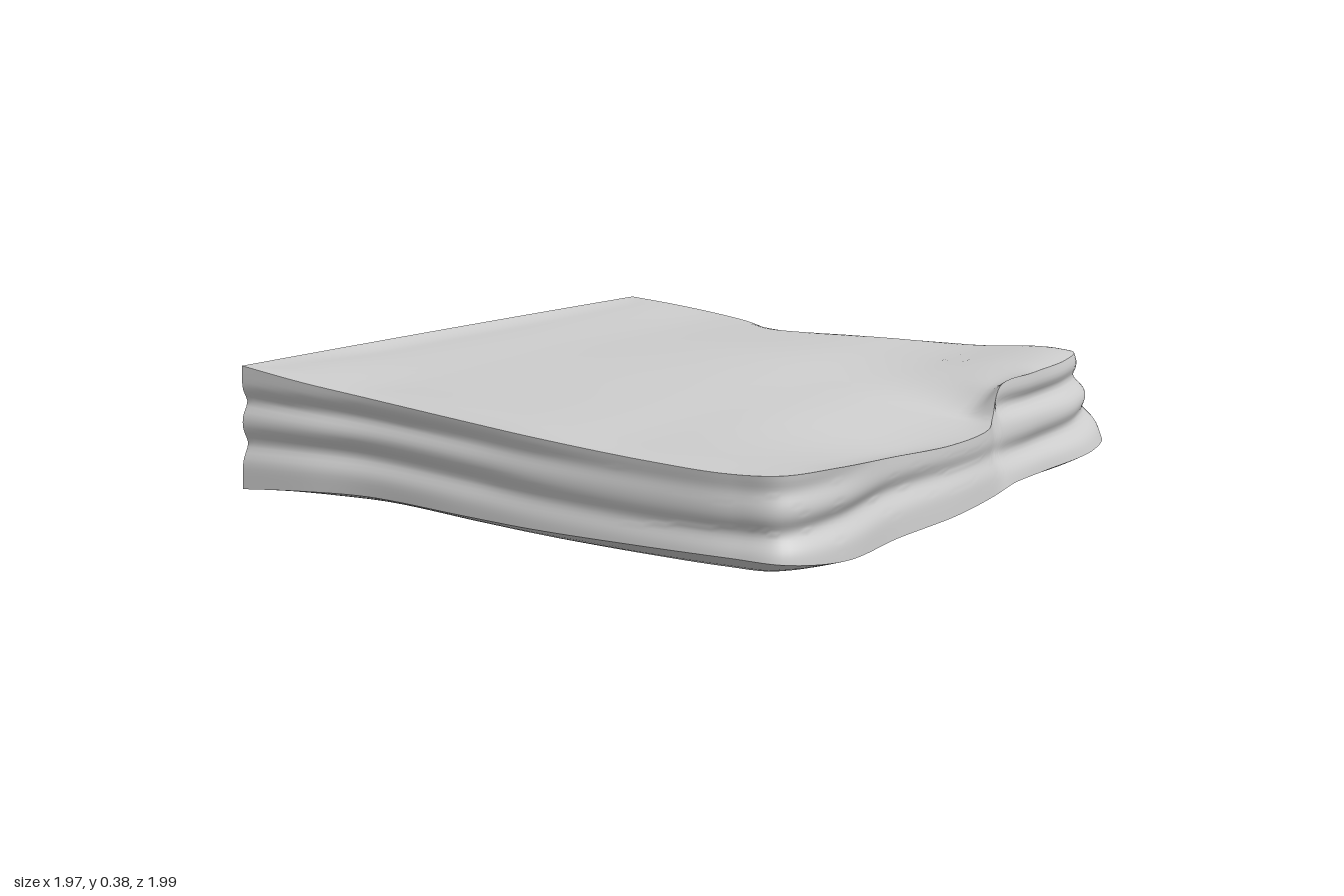
import * as THREE from 'three';
import { toCreasedNormals } from 'three/addons/utils/BufferGeometryUtils.js';

// Stations round the slab, back left corner -> front -> back right corner:
// lower ledge x, z, y, then upper rim x, z, y
const STATIONS = [
  [-0.985, -0.99, 0.01, -0.965, -0.99, 0.385],
  [-0.97, -0.75, 0.035, -0.955, -0.75, 0.36],
  [-0.945, -0.5, 0.05, -0.94, -0.5, 0.34],
  [-0.97, -0.1, 0.06, -0.95, -0.1, 0.32],
  [-0.98, 0.15, 0.065, -0.96, 0.15, 0.31],
  [-0.97, 0.5, 0.075, -0.95, 0.5, 0.295],
  [-0.945, 0.76, 0.08, -0.93, 0.75, 0.29],
  [-0.905, 0.895, 0.075, -0.89, 0.88, 0.295],
  [-0.72, 0.955, 0.05, -0.72, 0.935, 0.29],
  [-0.4, 0.935, 0.035, -0.4, 0.915, 0.255],
  [-0.1, 0.955, 0.035, -0.1, 0.935, 0.235],
  [0.14, 0.95, 0.04, 0.14, 0.925, 0.235],
  [0.23, 0.945, 0.045, 0.235, 0.89, 0.25],
  [0.29, 0.945, 0.05, 0.29, 0.885, 0.335],
  [0.45, 0.96, 0.055, 0.45, 0.915, 0.355],
  [0.74, 0.995, 0.07, 0.7, 0.905, 0.355],
  [0.9, 0.95, 0.085, 0.88, 0.85, 0.355],
  [0.97, 0.75, 0.09, 0.92, 0.7, 0.345],
  [0.985, 0.45, 0.09, 0.945, 0.43, 0.32],
  [0.935, 0.12, 0.09, 0.86, 0.12, 0.315],
  [0.89, -0.15, 0.09, 0.81, -0.2, 0.32],
  [0.9, -0.42, 0.085, 0.89, -0.43, 0.34],
  [0.95, -0.75, 0.075, 0.945, -0.75, 0.36],
  [0.95, -0.99, 0.065, 0.95, -0.99, 0.375],
];
const SIDE = 184, BACK = 40, WALL_ROWS = 24;
const mix = THREE.MathUtils.lerp;
const smooth = THREE.MathUtils.smoothstep;
const bell = (v, centre, width) => Math.exp(-(((v - centre) / width) ** 2));

const curveOf = (k) => new THREE.CatmullRomCurve3(
  STATIONS.map((s) => new THREE.Vector3(s[k], s[k + 2], s[k + 1])));

// Upper face: a slope to the front, a scooped hollow beside the raised +x front
// corner, a low lip along the back and gentle swells
function topHeight(x, z) {
  const slope = 0.05 * smooth(z, -0.3, 0.8) * (1 - smooth(x, 0.2, 0.55));
  const edge = 0.25 + 0.5 * Math.max(0, 0.9 - z);
  const hollow = 0.065 * smooth(z, 0.4, 0.92) * smooth(x, -0.9, -0.2)
    * (1 - smooth(x, 0.5 - edge, edge + 0.06));
  const corner = 0.022 * smooth(z, 0.5, 0.8) * smooth(x, 0.25, 0.5);
  const lip = mix(0.032, 0.016, smooth(x, -0.9, -0.4)) * smooth(-z, 0.5, 0.9);
  return 0.347 - slope - hollow + corner + lip - 0.008 * bell(z, 0.38, 0.18)
    + 0.005 * Math.sin(2.6 * x + 1.2 * z) * Math.cos(5 * z - x);
}

function slabGeometry() {
  const lower = curveOf(0), upper = curveOf(3);

  // Close an open side row along the flat back, where the +x end lifts
  const closeRow = (row) => {
    const a = row[SIDE], b = row[0];
    for (let i = 1; i < BACK; i++) {
      const s = i / BACK;
      const p = a.clone().lerp(b, s);
      p.y = mix(b.y, a.y, (1 - s) ** 2);
      row.push(p);
    }
    return row;
  };

  // Layered wall: two level, wandering grooves between ledge and rim
  const wallRow = (t) => {
    const row = [];
    for (let i = 0; i <= SIDE; i++) {
      const u = i / SIDE;
      const rim = upper.getPoint(u);
      const p = lower.getPoint(u).lerp(rim, t);
      const d = lower.getTangent(u);
      const depth = mix(0.022, 0.034, smooth(u, 0.5, 0.75)) * (1 + 0.3 * Math.sin(23 * u));
      const low = 0.145 + 0.05 * bell(u, 0.74, 0.08) + 0.012 * Math.sin(19 * u);
      const high = 0.265 + 0.03 * bell(u, 0.7, 0.1) + 0.012 * Math.sin(14 * u + 1);
      const groove = -depth * Math.sin(Math.PI * t) ** 0.5 * (bell(p.y, low, 0.035)
        + bell(p.y, high, 0.03) * smooth(rim.y, 0.26, 0.33));
      const end = i === 0 || i === SIDE;
      p.x -= d.z * groove;
      p.z = end ? -0.99 : Math.max(-0.99, p.z + d.x * groove);
      row.push(p);
    }
    return closeRow(row);
  };

  const wall = [];
  for (let r = 0; r <= WALL_ROWS; r++) wall.push(wallRow(r / WALL_ROWS));
  const ledge = wall[0], rim = wall[WALL_ROWS];

  // Underside: from the centre out, with a soft bevel and a lift towards +x
  const underside = [0, 0.3, 0.6, 0.76, 0.82, 0.87, 0.91, 0.94, 0.965, 0.985]
    .map((s) => ledge.map((p) => {
      const x = p.x * s;
      const bevel = Math.max(0, (s - 0.82) / 0.18) ** 2;
      const base = 0.009 + 0.026 * smooth(x, 0.55, 0.95);
      const z = p.z < -0.98 && s > 0.93 ? -0.99 : p.z * s;
      return new THREE.Vector3(x, mix(base, p.y, bevel), z);
    }));

  // Upper face: rounded rim, then swells to the centre
  const topFace = [0.993, 0.98, 0.965, 0.94, 0.91, 0.88, 0.84, 0.8, 0.74, 0.66, 0.58, 0.5,
    0.42, 0.33, 0.24, 0.15, 0.07, 0].map((s) => rim.map((p) => {
    const x = p.x * s, z = p.z * s, h = topHeight(x, z);
    const reach = mix(0.09, 0.2, smooth(h - p.y, 0.02, 0.07));
    const k = Math.sin(Math.min(1, (1 - s) / reach) * Math.PI / 2);
    return new THREE.Vector3(x, mix(p.y, h, k), z);
  }));

  const rows = [...underside, ...wall, ...topFace];
  const n = SIDE + BACK, positions = [], index = [];
  rows.forEach((row) => row.forEach((p) => positions.push(p.x, p.y, p.z)));
  for (let r = 0; r < rows.length - 1; r++) {
    for (let i = 0; i < n; i++) {
      const a = r * n + i, b = r * n + ((i + 1) % n);
      // The first and last loops shrink to a point, so one triangle is enough
      if (r > 0) index.push(a, b, b + n);
      if (r < rows.length - 2) index.push(a, b + n, a + n);
    }
  }
  const geometry = new THREE.BufferGeometry();
  geometry.setAttribute('position', new THREE.Float32BufferAttribute(positions, 3));
  geometry.setIndex(index);
  return toCreasedNormals(geometry, 0.9);
}

export function createModel() {
  const group = new THREE.Group();
  group.name = 'stoneSlab';
  const slab = new THREE.Mesh(slabGeometry(), new THREE.MeshStandardMaterial({ color: 0xcccccc }));
  slab.name = 'weatheredSlab';
  group.add(slab);
  return group;
}
